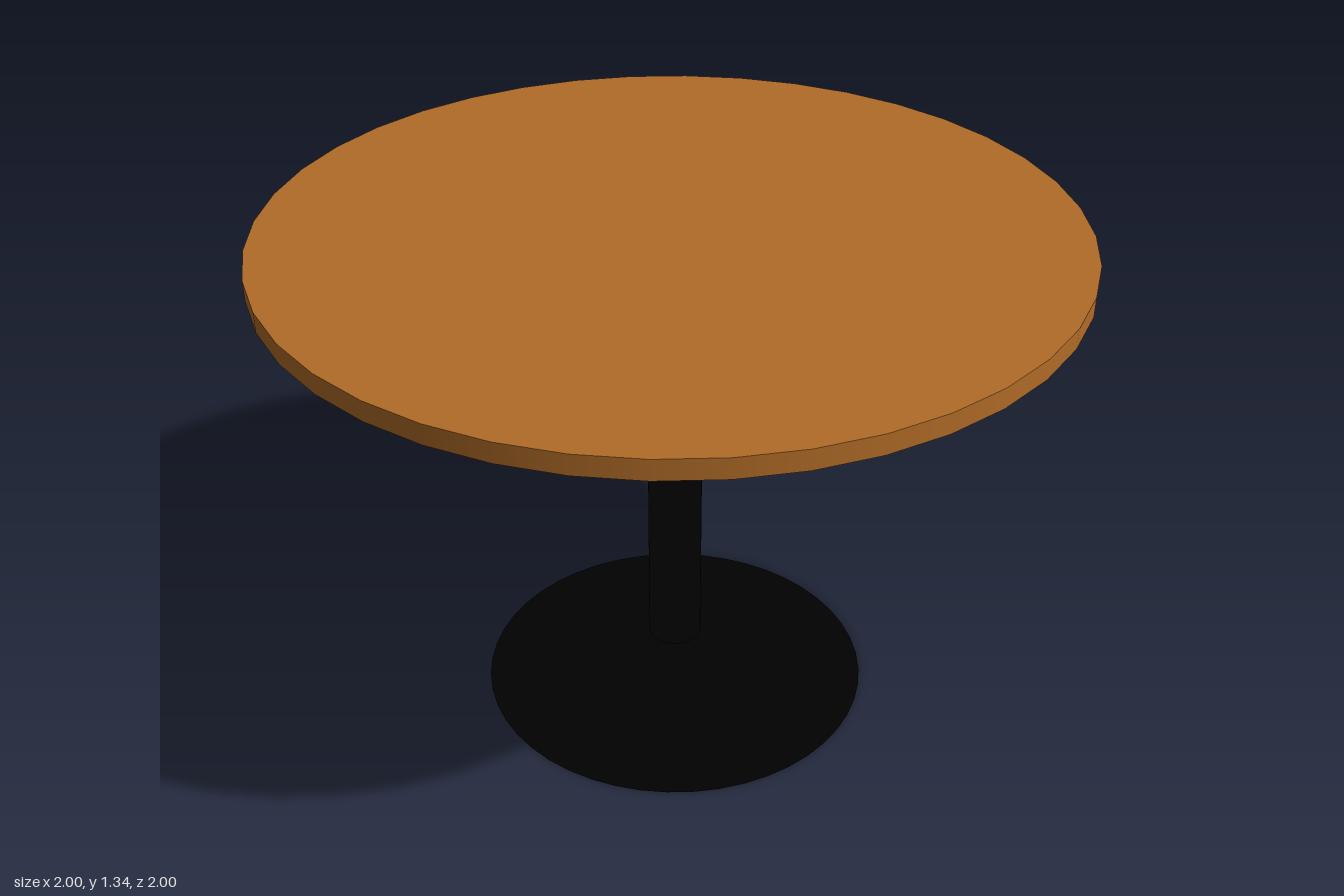
import * as THREE from 'three';

function material(name, color) {
  const m = new THREE.MeshStandardMaterial({ color });
  m.name = name;
  return m;
}

export function createModel() {
  const wood = material('wood', 0xb06b27);
  const underWood = material('unfinished underside', 0xb39674);
  const black = material('black metal', 0x010101);
  const grey = material('grey base underside', 0xb5b5b5);
  const steel = material('bracket steel', 0xc4c8cb);

  const table = new THREE.Group();
  table.name = 'roundPedestalTable';

  const add = (name, geometry, mat, x, y, z) => {
    const mesh = new THREE.Mesh(geometry, mat);
    mesh.name = name;
    mesh.position.set(x, y, z);
    table.add(mesh);
    return mesh;
  };

  // Round top: finished edge and face, plain underside
  add('tableTop', new THREE.CylinderGeometry(1, 1, 0.05, 40), [wood, wood, underWood], 0, 1.31, 0);

  // Pedestal, set very slightly off the centre of the top
  const px = 0.005, pz = -0.008;
  add('column', new THREE.CylinderGeometry(0.07, 0.07, 1.165, 40), black, px, 0.7025, pz);
  add('base', new THREE.CylinderGeometry(0.07, 0.512, 0.126, 48), [black, black, grey], px, 0.063, pz);

  // Mounting plate under the top
  add('mountingPlate', new THREE.CylinderGeometry(0.13, 0.13, 0.002, 32), steel, 0, 1.284, 0);

  // Four tapering support arms along the axes, each with a thin flange against the top
  const profile = new THREE.Shape([
    [0, 0], [0.06, -0.026], [0.375, -0.007], [0.375, 0],
  ].map(([x, y]) => new THREE.Vector2(x, y)));
  const armGeometry = new THREE.ExtrudeGeometry(profile, { depth: 0.024, bevelEnabled: false });
  armGeometry.translate(0, 0, -0.012);
  const flangeGeometry = new THREE.BoxGeometry(0.375, 0.003, 0.036);
  flangeGeometry.translate(0.1875, -0.0015, 0);
  for (let i = 0; i < 4; i++) {
    add('supportArm', armGeometry, steel, 0, 1.285, 0).rotation.y = i * Math.PI / 2;
    add('armFlange', flangeGeometry, steel, 0, 1.285, 0).rotation.y = i * Math.PI / 2;
  }

  return table;
}
